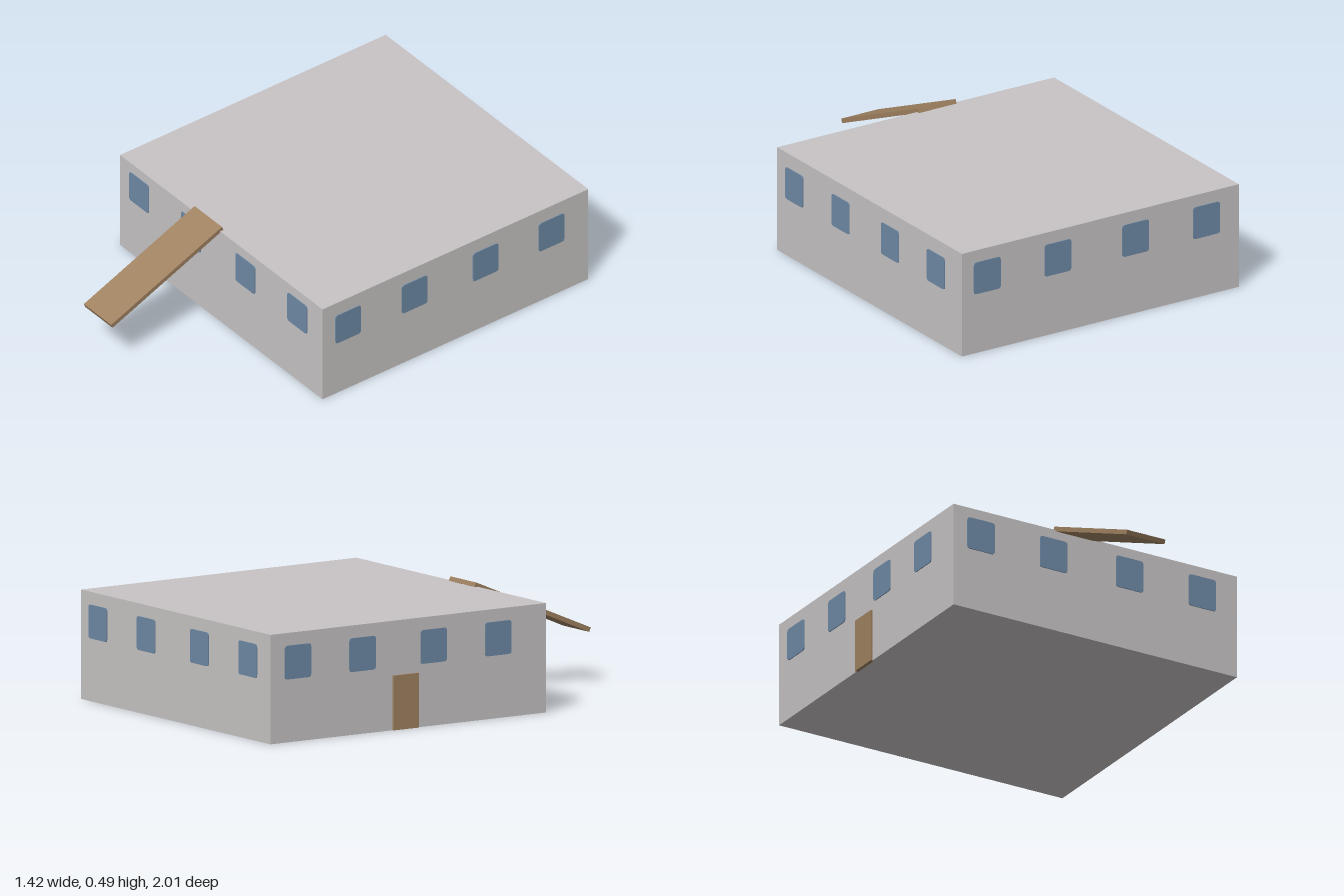
import * as THREE from 'three';

const wallMat = new THREE.MeshStandardMaterial({ name: 'wall grey', color: 0xc8c4c5 });
const glassMat = new THREE.MeshStandardMaterial({ name: 'window blue', color: 0x6e8aa6 });
const woodMat = new THREE.MeshStandardMaterial({ name: 'wood brown', color: 0xa08261 });

// Building extents
const X0 = -0.7, X1 = 0.705, Z0 = -1, Z1 = 0.42, H = 0.47;

function box(name, mat, w, h, d, x, y, z) {
  const mesh = new THREE.Mesh(new THREE.BoxGeometry(w, h, d), mat);
  mesh.name = name;
  mesh.position.set(x, y, z);
  return mesh;
}

// Thin rounded pane facing +z
function paneGeometry(w, h, r, depth) {
  const a = w / 2, b = h / 2;
  const s = new THREE.Shape();
  s.moveTo(-a + r, -b);
  s.lineTo(a - r, -b);
  s.quadraticCurveTo(a, -b, a, -b + r);
  s.lineTo(a, b - r);
  s.quadraticCurveTo(a, b, a - r, b);
  s.lineTo(-a + r, b);
  s.quadraticCurveTo(-a, b, -a, b - r);
  s.lineTo(-a, -b + r);
  s.quadraticCurveTo(-a, -b, -a + r, -b);
  return new THREE.ExtrudeGeometry(s, { depth, bevelEnabled: false, curveSegments: 4 });
}

export function createModel() {
  const model = new THREE.Group();
  model.name = 'building';

  // Main block
  model.add(box('walls', wallMat, X1 - X0, H, Z1 - Z0, (X0 + X1) / 2, H / 2, (Z0 + Z1) / 2));

  // Four windows on every side
  const pane = paneGeometry(0.135, 0.145, 0.014, 0.004);
  const sides = [
    { name: 'frontWindow', turn: 0, y: 0.352, at: [-0.565, -0.205, 0.172, 0.532], place: (u) => [u, Z1] },
    { name: 'backWindow', turn: Math.PI, y: 0.343, at: [0.578, 0.22, -0.175, -0.534], place: (u) => [u, Z0] },
    { name: 'leftWindow', turn: Math.PI / 2, y: 0.333, at: [0.285, -0.07, -0.45, -0.802], place: (u) => [X1, u] },
    { name: 'rightWindow', turn: -Math.PI / 2, y: 0.343, at: [-0.86, -0.527, -0.16, 0.173], place: (u) => [X0, u] },
  ];
  for (const side of sides) {
    for (const u of side.at) {
      const mesh = new THREE.Mesh(pane, glassMat);
      const [x, z] = side.place(u);
      mesh.name = side.name;
      mesh.position.set(x, side.y, z);
      mesh.rotation.y = side.turn;
      model.add(mesh);
    }
  }

  // Door on the side wall
  model.add(box('door', woodMat, 0.016, 0.235, 0.13, X0, 0.1175, -0.305));

  // Plank sloping down from the roof edge
  const ramp = box('ramp', woodMat, 0.19, 0.02, 0.643, -0.1, 0.355, 0.703);
  ramp.rotation.x = 0.4;
  model.add(ramp);

  return model;
}
